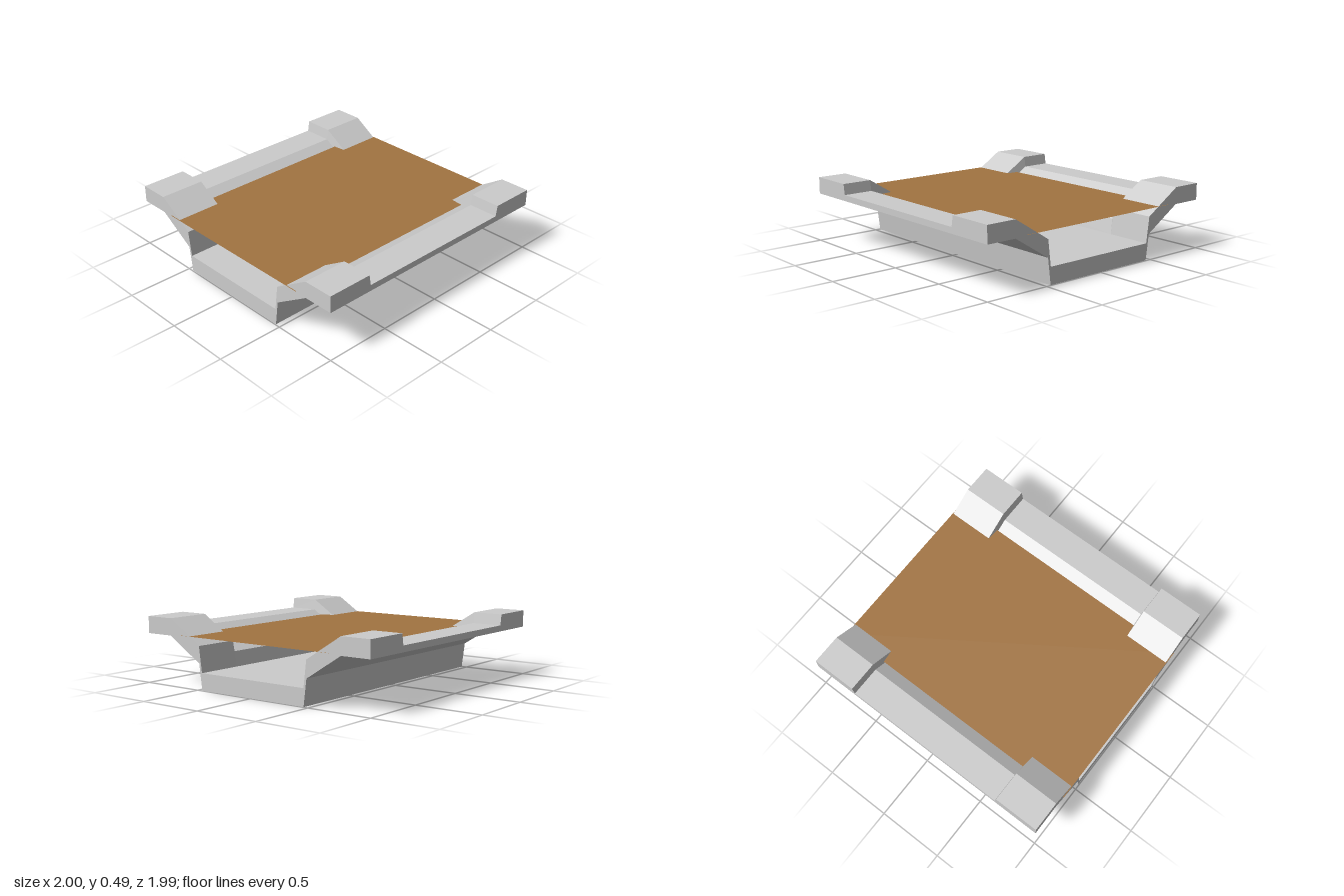
import * as THREE from 'three';

// Half of the channel's top line, from floor edge to outer rim: [z, y]
const HALF = [[0.46, 0.125], [0.485, 0.315], [0.765, 0.49], [0.994, 0.49]];
const THICKNESS = 0.124;
const NOTCH_DROP = 0.08;

// Stations along the channel: [x, how far the banks drop]
const STATIONS = [
  [-0.994, 0], [-0.65, 0], [-0.637, NOTCH_DROP],
  [0.637, NOTCH_DROP], [0.65, 0], [0.994, 0],
];

function channelGeometry() {
  const line = [...HALF.map(([z, y]) => [-z, y]).reverse(), ...HALF];
  const last = line.length - 1;
  const positions = [];
  const top = (s, i) => {
    const [z, y] = line[i];
    const drop = y > 0.2 ? STATIONS[s][1] : 0;
    return [STATIONS[s][0], y - drop, z];
  };
  const bottom = (s, i) => [STATIONS[s][0], line[i][1] - THICKNESS - 0.001, line[i][0]];
  const quad = (a, b, c, d) => positions.push(...a, ...b, ...c, ...a, ...c, ...d);

  for (let s = 0; s < STATIONS.length - 1; s++) {
    const n = s + 1;
    // upper and lower skins
    for (let i = 0; i < last; i++) {
      quad(top(s, i), top(s, i + 1), top(n, i + 1), top(n, i));
      quad(bottom(s, i), bottom(n, i), bottom(n, i + 1), bottom(s, i + 1));
    }
    // outer rims, front and back
    quad(top(s, last), bottom(s, last), bottom(n, last), top(n, last));
    quad(top(s, 0), top(n, 0), bottom(n, 0), bottom(s, 0));
  }
  // open ends of the channel
  const e = STATIONS.length - 1;
  for (let i = 0; i < last; i++) {
    quad(top(e, i), top(e, i + 1), bottom(e, i + 1), bottom(e, i));
    quad(top(0, i), bottom(0, i), bottom(0, i + 1), top(0, i + 1));
  }
  const geometry = new THREE.BufferGeometry();
  geometry.setAttribute('position', new THREE.Float32BufferAttribute(positions, 3));
  geometry.computeVertexNormals();
  return geometry;
}

export function createModel() {
  const concrete = new THREE.MeshStandardMaterial({ name: 'concrete grey', color: 0xcccccc });
  const muddy = new THREE.MeshStandardMaterial({ name: 'muddy brown', color: 0xa27441, side: THREE.DoubleSide });

  const model = new THREE.Group();
  model.name = 'canalSection';

  const channel = new THREE.Mesh(channelGeometry(), concrete);
  channel.name = 'channel';
  model.add(channel);

  // flat water sheet resting between the banks
  const water = new THREE.Mesh(new THREE.PlaneGeometry(2, 1.35).rotateX(-Math.PI / 2), muddy);
  water.name = 'waterSurface';
  water.position.y = 0.374;
  model.add(water);

  return model;
}
